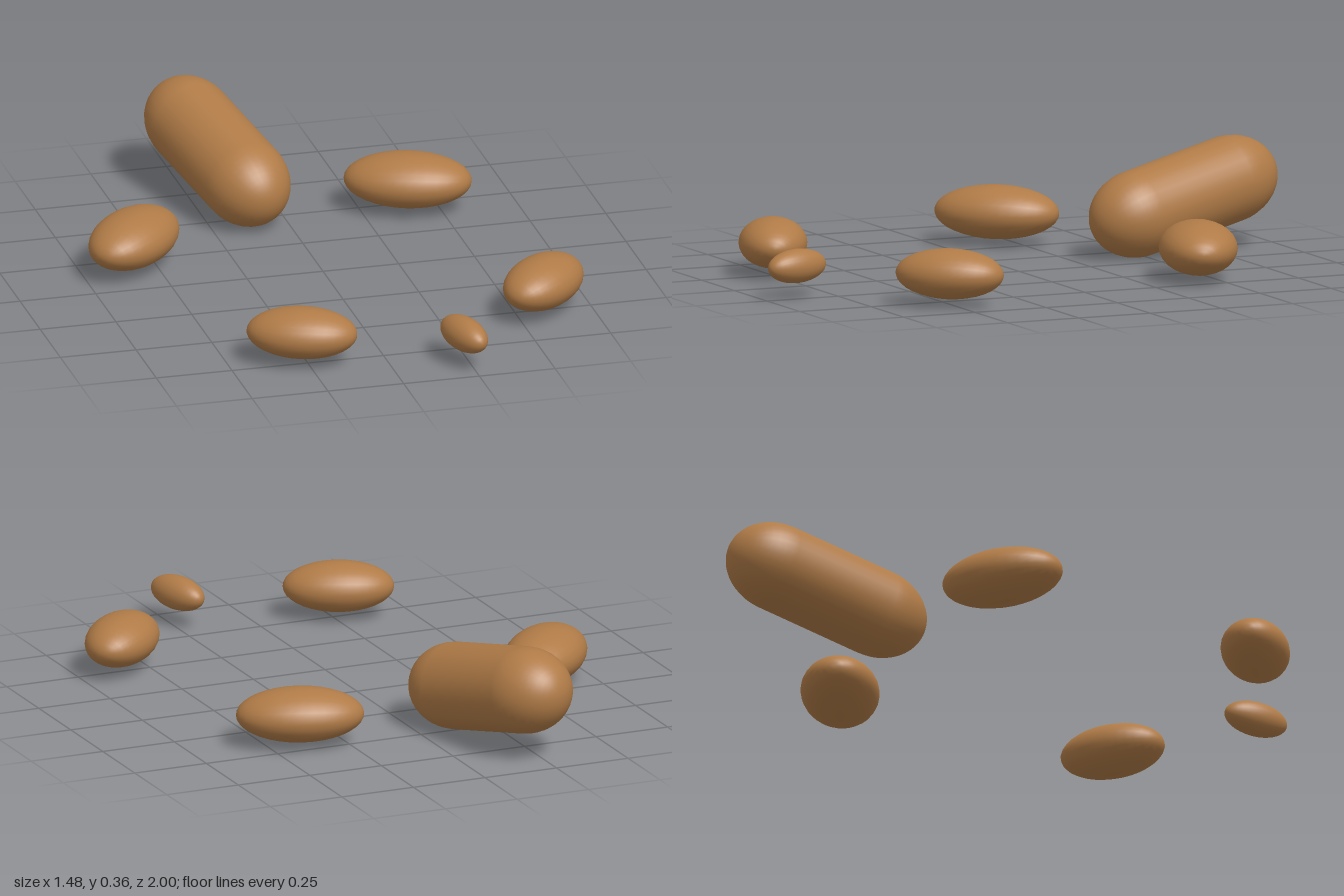
import * as THREE from 'three';

export function createModel() {
  const model = new THREE.Group();
  const brown = new THREE.MeshStandardMaterial({ color: 0xb07b47 });
  brown.name = 'warm brown';

  // flattened pebbles lying around the ring
  // [name, x, z, half length, half width, half height, heading in degrees]
  const pebbles = [
    ['backRightPebble', -0.575, -0.185, 0.205, 0.125, 0.087, 48],
    ['backLeftPebble', 0.398, -0.445, 0.205, 0.126, 0.087, -20],
    ['frontLeftPebble', 0.59, 0.515, 0.178, 0.111, 0.081, 47],
    ['frontRightPebble', -0.267, 0.742, 0.178, 0.11, 0.081, -23],
    ['smallPebble', 0.23, 0.886, 0.114, 0.055, 0.055, -73],
  ];
  for (const [name, x, z, length, width, height, heading] of pebbles) {
    const geometry = new THREE.SphereGeometry(1, 28, 18);
    geometry.rotateZ(Math.PI / 2); // poles at the long ends
    geometry.scale(length, height, width);
    const pebble = new THREE.Mesh(geometry, brown);
    pebble.name = name;
    pebble.position.set(x, 0.105, z);
    pebble.rotation.y = THREE.MathUtils.degToRad(heading);
    model.add(pebble);
  }

  // long rounded stone, raised at its back end
  const stoneGeometry = new THREE.CapsuleGeometry(0.14, 0.298, 12, 32);
  stoneGeometry.scale(1, 1.235, 1);
  const stone = new THREE.Mesh(stoneGeometry, brown);
  stone.name = 'longStone';
  stone.position.set(-0.174, 0.18, -0.655);
  const axis = new THREE.Vector3(-0.0425, 0.0375, -0.175).normalize();
  stone.quaternion.setFromUnitVectors(new THREE.Vector3(0, 1, 0), axis);
  model.add(stone);

  return model;
}
